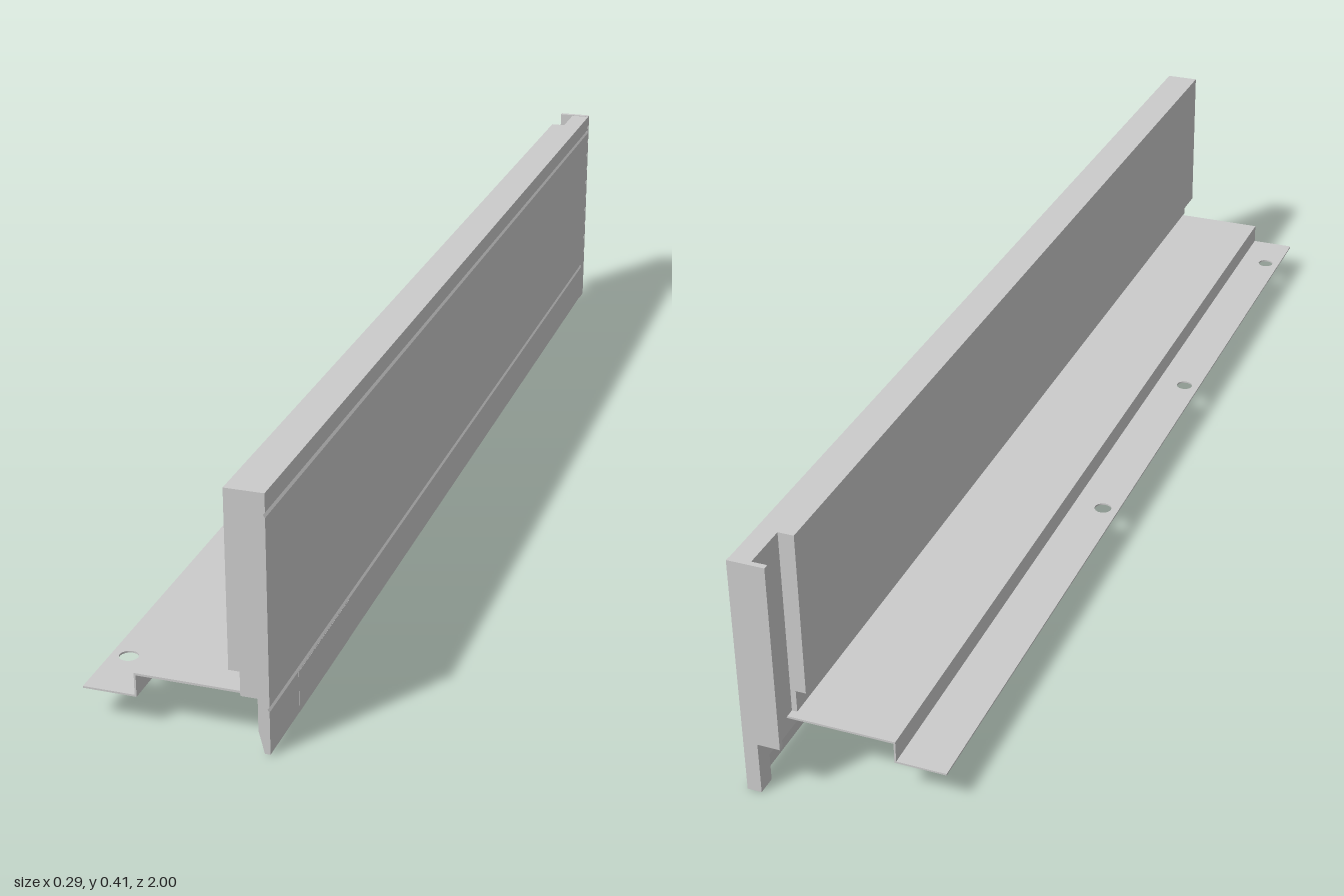
import * as THREE from 'three';

const material = new THREE.MeshStandardMaterial({ color: 0xcccccc, flatShading: true });

function add(group, name, geometry) {
  const mesh = new THREE.Mesh(geometry, material);
  mesh.name = name;
  group.add(mesh);
  return mesh;
}

// Box given by its limits on each axis
function block(group, name, [x0, x1], [y0, y1], [z0, z1]) {
  const geometry = new THREE.BoxGeometry(x1 - x0, y1 - y0, z1 - z0);
  geometry.translate((x0 + x1) / 2, (y0 + y1) / 2, (z0 + z1) / 2);
  return add(group, name, geometry);
}

// Extrudes an outline in x, y along z
function extrudeZ(group, name, points, z0, z1) {
  const shape = new THREE.Shape(points.map(([x, y]) => new THREE.Vector2(x, y)));
  const geometry = new THREE.ExtrudeGeometry(shape, { depth: z1 - z0, bevelEnabled: false });
  geometry.translate(0, 0, z0);
  return add(group, name, geometry);
}

const TOP = 0.411;
const OUTER = 0.1455;

// Outer face from bottom to top, with two V grooves
const outerFace = [[OUTER, 0.002]];
for (const y of [0.075, 0.378]) {
  outerFace.push([OUTER, y - 0.004], [OUTER - 0.003, y], [OUTER, y + 0.004]);
}
outerFace.push([OUTER, TOP]);

// Tapered drip edge below the deck
const dripEdge = [[0.128, 0.09], [0.128, 0.038], [0.137, 0.002]];

export function createModel() {
  const model = new THREE.Group();
  model.name = 'edgePanel';

  // Thick panel with a rebate along its inner foot
  extrudeZ(model, 'panel',
    [...dripEdge, ...outerFace, [0.085, TOP], [0.085, 0.129], [0.102, 0.129], [0.102, 0.09]],
    -0.91, 1);

  // Thin tail of the panel behind the notch
  extrudeZ(model, 'panelTail',
    [...dripEdge, ...outerFace, [0.111, TOP], [0.111, 0.09]],
    -0.99, -0.91);

  // Hooked return closing the back end
  extrudeZ(model, 'endHook',
    [[0.122, 0], [OUTER, 0], [OUTER, 0.412], [0.085, 0.412], [0.085, 0.09], [0.122, 0.09]],
    -1, -0.991);
  block(model, 'hookFoot', [0.122, OUTER], [0, 0.09], [-0.991, -0.968]);

  // Shallow plate on the lower outer face
  block(model, 'facePlate', [OUTER - 0.002, OUTER + 0.0004], [0.002, 0.07], [0.65, 0.88]);

  // Folded sheet deck: top, riser and turned down lip
  const length = [-0.925, 0.988];
  block(model, 'deck', [-0.066, 0.129], [0.087, 0.0905], length);
  block(model, 'deckRiser', [-0.0665, -0.0635], [0.0515, 0.0905], length);
  block(model, 'deckLip', [0.1255, 0.1285], [0.038, 0.0905], length);

  // Fixing flange with three holes
  const flange = new THREE.Shape([
    new THREE.Vector2(-0.148, length[0]), new THREE.Vector2(-0.0645, length[0]),
    new THREE.Vector2(-0.0645, length[1]), new THREE.Vector2(-0.148, length[1]),
  ]);
  for (const z of [-0.163, 0.31, 0.888]) {
    flange.holes.push(new THREE.Path().absarc(-0.12, z, 0.015, 0, Math.PI * 2, true));
  }
  const flangeGeometry = new THREE.ExtrudeGeometry(flange,
    { depth: 0.003, bevelEnabled: false, curveSegments: 24 });
  flangeGeometry.rotateX(Math.PI / 2).translate(0, 0.0545, 0);
  add(model, 'fixingFlange', flangeGeometry);

  return model;
}
